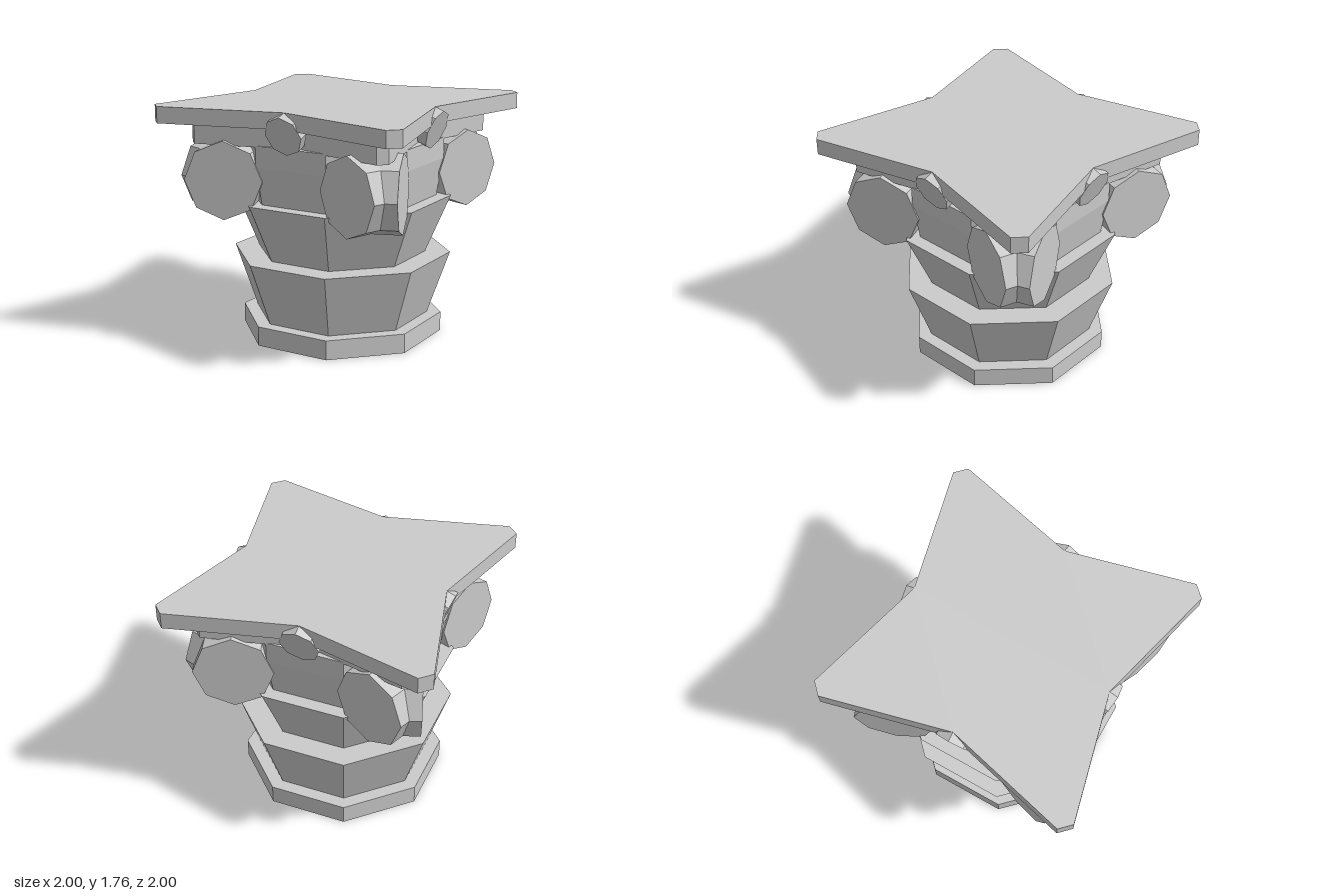
import * as THREE from 'three';

const material = new THREE.MeshStandardMaterial({ color: 0xcccccc, flatShading: true });

function add(parent, name, geometry) {
  const mesh = new THREE.Mesh(geometry, material);
  mesh.name = name;
  parent.add(mesh);
  return mesh;
}

// Eight-sided tier with a flat face to the front; sizes are centre-to-face distances
function octagon(parent, name, bottom, top, y0, y1) {
  const k = 1 / Math.cos(Math.PI / 8);
  const g = new THREE.CylinderGeometry(top * k, bottom * k, y1 - y0, 8);
  g.rotateY(Math.PI / 8).translate(0, (y0 + y1) / 2, 0);
  return add(parent, name, g);
}

// Four-pointed slab with inward sides and clipped corners
function star(parent, name, tip, clip, mid, y0, y1) {
  const points = [];
  for (let i = 0; i < 4; i++) {
    for (const [x, y] of [[mid, 0], [tip, clip], [clip, tip]]) {
      points.push(new THREE.Vector2(x, y).rotateAround(new THREE.Vector2(), i * Math.PI / 2));
    }
  }
  const g = new THREE.ExtrudeGeometry(new THREE.Shape(points), { depth: y1 - y0, bevelEnabled: false });
  g.rotateX(-Math.PI / 2).translate(0, y0, 0);
  return add(parent, name, g);
}

// Eight-sided disc whose front face is centred on the origin, facing +z
function disc(radius, thickness) {
  return new THREE.CylinderGeometry(radius, radius, thickness, 8)
    .rotateX(Math.PI / 2).translate(0, 0, -thickness / 2);
}

export function createModel() {
  const group = new THREE.Group();
  group.name = 'columnCapital';

  // Stacked body
  octagon(group, 'baseRing', 0.70, 0.70, 0, 0.145);
  octagon(group, 'lowerLeafTier', 0.605, 0.757, 0.145, 0.62);
  octagon(group, 'upperLeafTier', 0.585, 0.755, 0.62, 1.055);
  octagon(group, 'bell', 0.652, 0.698, 1.04, 1.335);
  octagon(group, 'neckRing', 0.70, 0.70, 1.335, 1.49);

  // Top slabs
  star(group, 'lowerAbacus', 0.805, 0.745, 0.635, 1.48, 1.64);
  star(group, 'abacus', 1.0, 0.92, 0.77, 1.64, 1.76);

  // Each side carries two corner scrolls and a central flower
  const tilt = THREE.MathUtils.degToRad(20);
  for (let i = 0; i < 4; i++) {
    const side = new THREE.Group();
    side.name = 'side' + (i + 1);
    side.rotation.y = i * Math.PI / 2;
    group.add(side);
    for (const s of [1, -1]) {
      const scroll = add(side, s > 0 ? 'leftScroll' : 'rightScroll', disc(0.288, 0.2));
      scroll.position.set(s * 0.51, 1.23, 0.792);
      scroll.rotation.y = -s * tilt;
    }
    const flower = add(side, 'flower', disc(0.148, 0.075));
    flower.position.set(0, 1.595, 0.785);
    flower.rotation.x = tilt;
  }
  return group;
}
